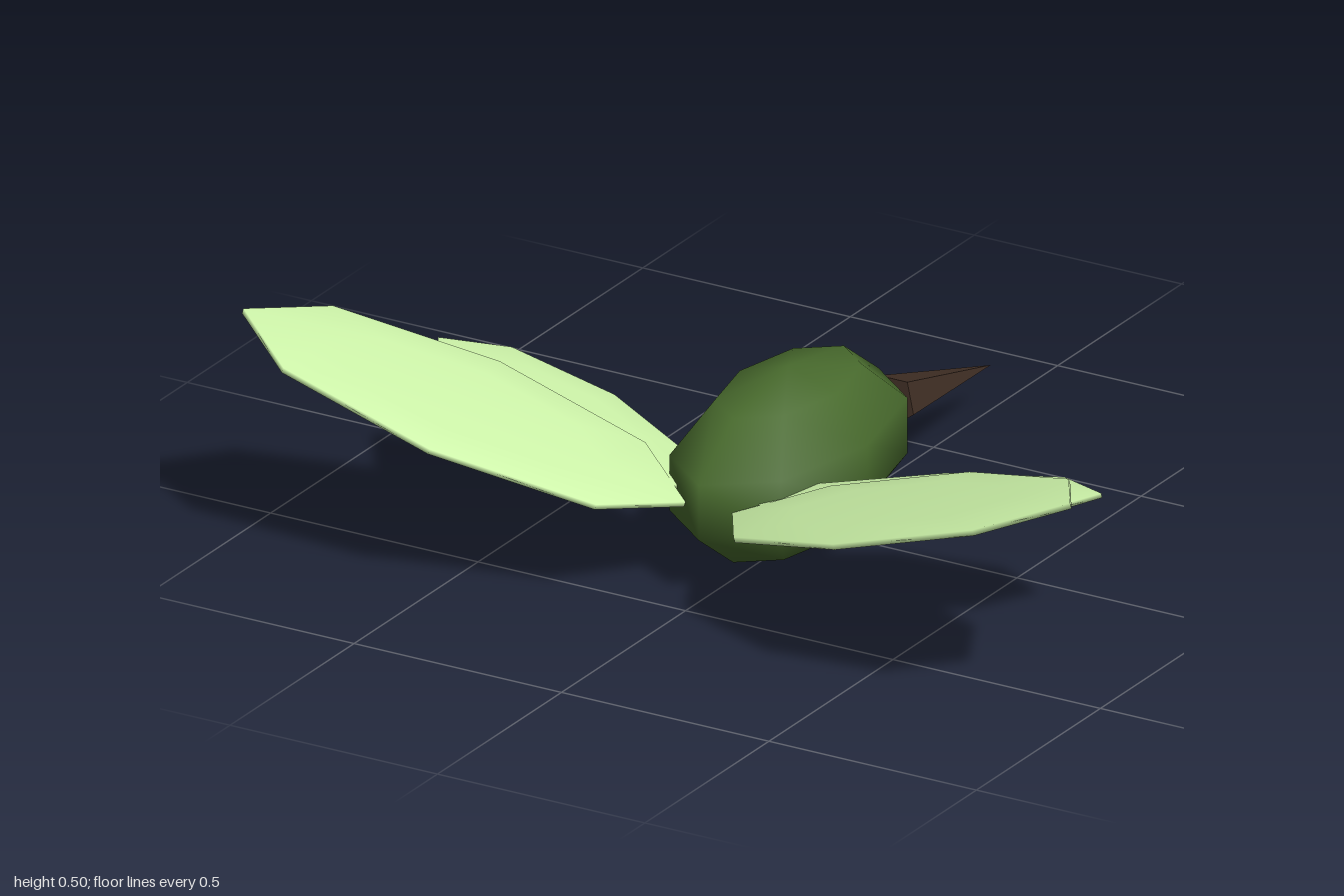
import * as THREE from 'three';

const bodyMat = new THREE.MeshStandardMaterial({ color: 0x486a2d });
const wingMat = new THREE.MeshStandardMaterial({ color: 0xccf2a8 });
const beakMat = new THREE.MeshStandardMaterial({ color: 0x3f2e24, flatShading: true });

// The widest rings of a five-band sphere sit inside its true radius
const RING = Math.sin(Math.PI * 2 / 5);

function part(name, geometry, material) {
  const mesh = new THREE.Mesh(geometry, material);
  mesh.name = name;
  return mesh;
}

// Flattened low-poly ellipsoid; span and chord are its half axes
function wing(name, side, centre, span, chord, thickness) {
  const x = new THREE.Vector3(side * span[0], span[1], span[2]).divideScalar(RING);
  const z = new THREE.Vector3(side * chord[0], chord[1], chord[2]).divideScalar(RING);
  const y = z.clone().cross(x).setLength(thickness);
  const matrix = new THREE.Matrix4().makeBasis(x, y, z)
    .setPosition(side * centre[0], centre[1], centre[2]);
  return part(name, new THREE.SphereGeometry(1, 8, 5).applyMatrix4(matrix), wingMat);
}

export function createModel() {
  const model = new THREE.Group();
  model.name = 'bird';

  // Egg-shaped body
  const body = part('body', new THREE.SphereGeometry(1, 8, 5).scale(0.2, 0.2, 0.38), bodyMat);
  body.position.set(0, 0.2, 0.085);
  model.add(body);

  // Five-sided beak, floating ahead of the body and dipping slightly
  const beakGeo = new THREE.ConeGeometry(0.059, 0.407, 5)
    .rotateY(Math.PI)
    .rotateX(-Math.PI / 2 - 0.165);
  const beak = part('beak', beakGeo, beakMat);
  beak.position.set(0, 0.134, -0.529);
  model.add(beak);

  // Two pairs of wings
  for (const [label, side] of [['left', 1], ['right', -1]]) {
    model.add(
      wing(label + 'LargeWing', side, [0.528, 0.345, 0.511], [0.47, 0.153, 0.105], [-0.04, -0.014, 0.208], 0.02),
      wing(label + 'SmallWing', side, [0.442, 0.258, 0.26], [0.358, 0.052, -0.1], [0.04, 0.006, 0.145], 0.016),
    );
  }
  return model;
}
